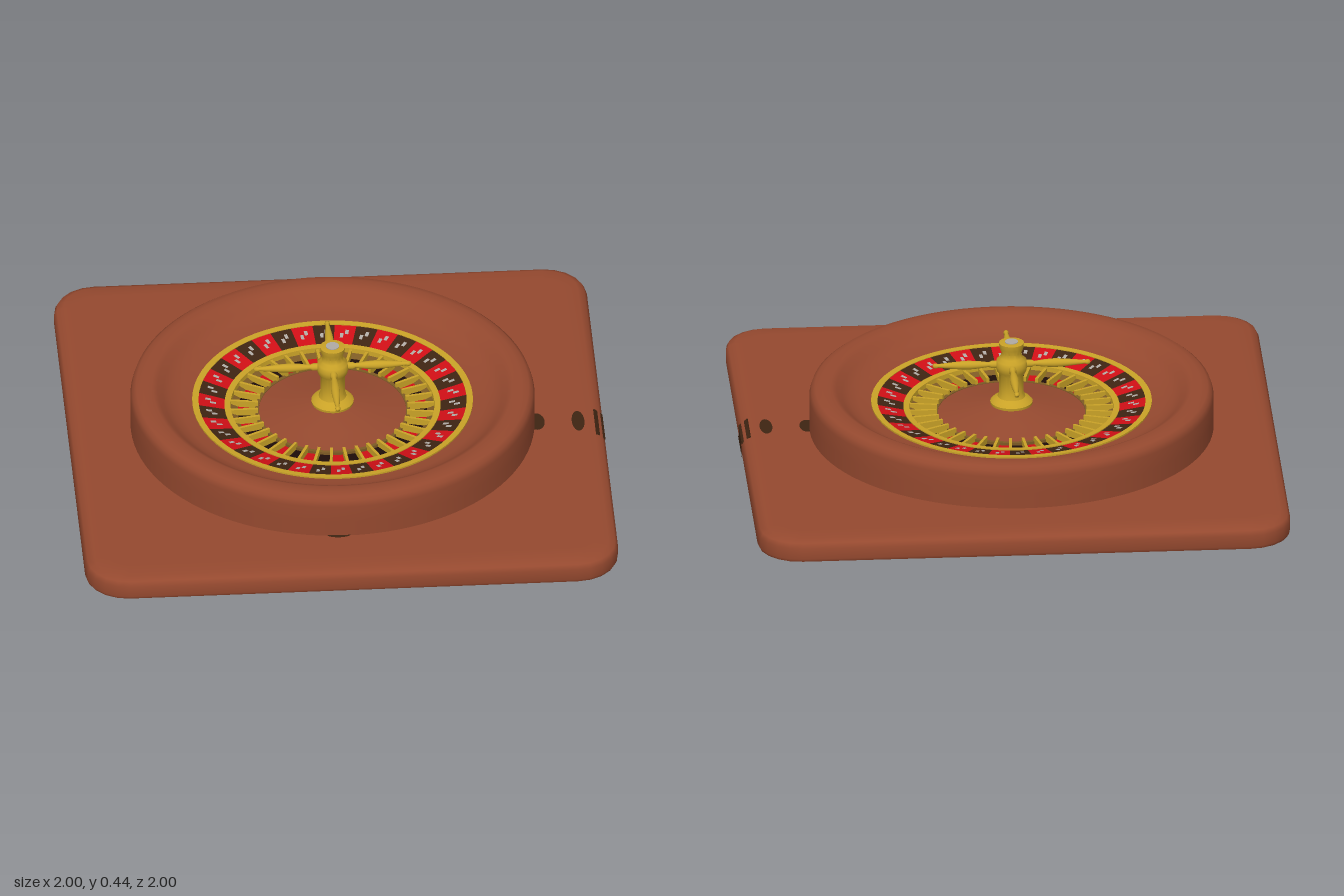
import * as THREE from 'three';
import { mergeGeometries, toCreasedNormals } from 'three/addons/utils/BufferGeometryUtils.js';

const mat = (name, color, side = THREE.FrontSide) => {
  const m = new THREE.MeshStandardMaterial({ color, side });
  m.name = name;
  return m;
};
const V = (pts) => pts.map(([r, y]) => new THREE.Vector2(r, y));

// Square tray with rounded corners, lofted through inset loops, open below
function trayGeometry() {
  const layers = [[0.006, 0], [0, 0.012], [0, 0.055], [0.01, 0.073], [0.035, 0.084], [0.1, 0.087]];
  const corner = 0.16, steps = 5, pos = [], idx = [];
  for (const [inset, y] of layers) {
    const r = Math.max(corner - inset, 0.05), c = 1 - inset - r;
    for (let q = 0; q < 4; q++) {
      const mid = (q + 0.5) * Math.PI / 2;
      for (let s = 0; s <= steps; s++) {
        const a = (q + s / steps) * Math.PI / 2;
        pos.push(Math.sign(Math.cos(mid)) * c + r * Math.cos(a), y,
          Math.sign(Math.sin(mid)) * c + r * Math.sin(a));
      }
    }
  }
  const n = 4 * (steps + 1), last = (layers.length - 1) * n, centre = layers.length * n;
  pos.push(0, 0.087, 0);
  for (let i = 0; i < n; i++) {
    const j = (i + 1) % n;
    for (let k = 0; k < layers.length - 1; k++) {
      const a = k * n + i, b = k * n + j;
      idx.push(a, a + n, b, b, a + n, b + n);
    }
    idx.push(last + i, centre, last + j);
  }
  const g = new THREE.BufferGeometry();
  g.setAttribute('position', new THREE.Float32BufferAttribute(pos, 3));
  g.setIndex(idx);
  g.computeVertexNormals();
  return g;
}

export function createModel() {
  const model = new THREE.Group();
  model.name = 'rouletteTable';
  const wood = mat('mahogany', 0x95492f);
  const trayWood = mat('trayMahogany', 0x95492f, THREE.DoubleSide);
  const gold = mat('gold', 0xc9a227);
  const bronze = mat('bronze', 0x7d5a24);
  const red = mat('red', 0xd00f16);
  const brown = mat('darkBrown', 0x3e2412);
  const black = mat('black', 0x1e0d09);
  const pale = mat('paleGrey', 0xb0aaa4);

  const add = (parent, name, geometry, material, x = 0, y = 0, z = 0) => {
    const m = new THREE.Mesh(geometry, material);
    m.name = name;
    m.position.set(x, y, z);
    parent.add(m);
    return m;
  };
  // Profiles run from the outside upward and inward
  const lathe = (pts, segs = 72, start = 0, len = Math.PI * 2) =>
    new THREE.LatheGeometry(V(pts), segs, start, len);
  const creased = (pts, segs = 72) => toCreasedNormals(lathe(pts, segs), 0.7);

  add(model, 'tray', trayGeometry(), trayWood);

  // Dark inlays on the right-hand edge of the tray
  const notch = new THREE.Shape([[-0.16, 0.006], [-0.12, 0.028], [-0.115, 0.045], [-0.14, 0.06],
    [0.025, 0.06], [0.005, 0.045], [0.01, 0.028], [0.045, 0.006]].map(([x, y]) => new THREE.Vector2(x, y)));
  add(model, 'edgeInlay', new THREE.ShapeGeometry(notch), brown, 1.002, 0, 0).rotation.y = Math.PI / 2;
  add(model, 'edgeInlayTop', new THREE.BoxGeometry(0.042, 0.006, 0.165), brown, 0.984, 0.071, 0.057)
    .rotation.z = -0.7;
  for (const [x, z, rx, rz] of [[0.905, 0.055, 0.024, 0.066], [0.75, 0.05, 0.03, 0.055], [-0.04, 0.752, 0.045, 0.02]]) {
    const spot = add(model, 'topInlay', new THREE.CircleGeometry(1, 20), brown, x, 0.09, z);
    spot.rotation.x = -Math.PI / 2;
    spot.scale.set(rx, rz, 1);
  }

  const wheel = new THREE.Group();
  wheel.name = 'wheel';
  wheel.position.x = -0.013;
  model.add(wheel);

  // Bowl with rounded rim and concave inner wall
  add(wheel, 'bowl', lathe([[0.757, 0.08], [0.757, 0.15], [0.757, 0.215], [0.75, 0.238], [0.735, 0.25],
    [0.71, 0.256], [0.675, 0.255], [0.655, 0.246], [0.635, 0.226], [0.605, 0.206], [0.57, 0.194],
    [0.52, 0.187]], 96), wood);
  add(wheel, 'underside', new THREE.CircleGeometry(0.745, 72), black, 0, 0.076, 0).rotation.x = Math.PI / 2;
  add(wheel, 'undersideRim', new THREE.RingGeometry(0.745, 0.765, 72), brown, 0, 0.076, 0).rotation.x = Math.PI / 2;

  // Gold rings either side of the number track
  add(wheel, 'outerRing', creased([[0.526, 0.184], [0.526, 0.194], [0.502, 0.192], [0.502, 0.185]]), gold);
  add(wheel, 'innerRing', creased([[0.405, 0.162], [0.405, 0.171], [0.382, 0.169], [0.38, 0.135]]), gold);
  add(wheel, 'pocketRing', creased([[0.29, 0.13], [0.29, 0.147], [0.276, 0.147], [0.276, 0.13]]), bronze);

  // Number track and ball pockets in alternating colours
  const count = 38, step = Math.PI * 2 / count;
  const track = [[], []], pockets = [[], []], marks = [], backs = [], fins = [];
  const trackY = (r) => 0.166 + (r - 0.4) * 0.23;
  for (let i = 0; i < count; i++) {
    const a = Math.PI + (i - 0.5) * step, k = i % 2;
    track[k].push(lathe([[0.505, trackY(0.505)], [0.4, trackY(0.4)]], 3, a, step));
    pockets[k].push(lathe([[0.357, 0.14], [0.285, 0.136]], 2, a, step));
    backs.push(lathe([[0.385, 0.152], [0.355, 0.14]], 2, a, step));
    for (const [r, s] of [[0.463, 0.3], [0.445, 0.54]]) {
      marks.push(lathe([[r + 0.014, trackY(r + 0.014) + 0.003], [r - 0.008, trackY(r - 0.008) + 0.003]],
        1, a + s * step, step * 0.17));
    }
    const fin = new THREE.BoxGeometry(0.011, 0.03, 0.105);
    fin.translate(0, 0.149, 0.333);
    fin.rotateY(a);
    fins.push(fin);
  }
  add(wheel, 'darkNumberCells', mergeGeometries(track[0]), brown);
  add(wheel, 'redNumberCells', mergeGeometries(track[1]), red);
  add(wheel, 'blackPockets', mergeGeometries(pockets[0]), black);
  add(wheel, 'redPockets', mergeGeometries(pockets[1]), red);
  add(wheel, 'pocketBacks', mergeGeometries(backs), bronze);
  add(wheel, 'cellMarks', mergeGeometries(marks), pale);
  add(wheel, 'pocketDividers', mergeGeometries(fins), gold);

  // Shallow cone in the middle
  add(wheel, 'cone', lathe([[0.28, 0.144], [0.18, 0.16], [0.08, 0.182], [0, 0.19]]), wood);

  // Turned spindle
  add(wheel, 'spindle', creased([[0.078, 0.178], [0.08, 0.192], [0.07, 0.203], [0.052, 0.212], [0.046, 0.23],
    [0.046, 0.305], [0.056, 0.318], [0.06, 0.34], [0.056, 0.36], [0.042, 0.372], [0.037, 0.39],
    [0.045, 0.41], [0.047, 0.43], [0.028, 0.432], [0, 0.432]], 28), gold);
  add(wheel, 'spindleCap', new THREE.CylinderGeometry(0.025, 0.025, 0.004, 20), pale, 0, 0.433, 0);

  // Four tapered handles ending in small knobs
  const handle = lathe([[0.014, 0.04], [0.014, 0.075], [0.009, 0.085], [0.014, 0.12], [0.017, 0.16],
    [0.015, 0.2], [0.01, 0.25], [0.007, 0.275], [0.01, 0.283], [0.009, 0.292], [0, 0.297]], 14);
  for (let k = 0; k < 4; k++) {
    const arm = new THREE.Group();
    arm.name = 'handle';
    arm.position.y = 0.342;
    arm.rotation.y = k * Math.PI / 2;
    add(arm, 'handleRod', handle, gold).rotation.z = -Math.PI / 2;
    wheel.add(arm);
  }
  return model;
}
